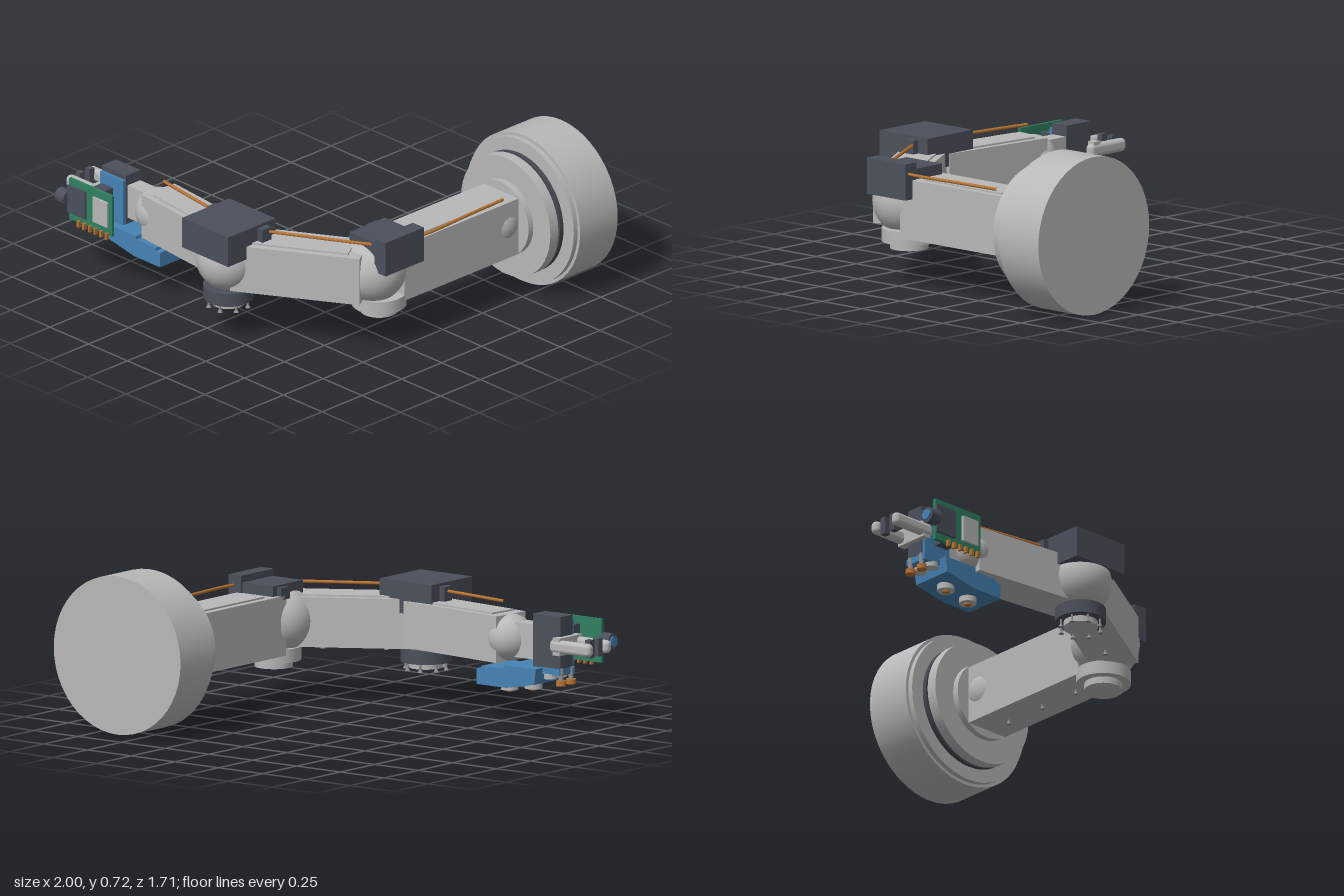
import * as THREE from 'three';
import { RoundedBoxGeometry } from 'three/addons/geometries/RoundedBoxGeometry.js';

const mat = (name, color) => {
  const m = new THREE.MeshStandardMaterial({ color });
  m.name = name;
  return m;
};

export function createModel() {
  const root = new THREE.Group();
  root.name = 'roboticArm';
  const grey = mat('shell grey', 0xb8b8b8);
  const dark = mat('housing slate', 0x4b505b);
  const groove = mat('groove charcoal', 0x45494f);
  const blue = mat('bracket blue', 0x4682b4);
  const green = mat('board green', 0x2f8060);
  const copper = mat('cable copper', 0xb87333);
  const steel = mat('screw steel', 0x8f9296);

  const add = (name, geo, m, x = 0, y = 0, z = 0, parent = root) => {
    const mesh = new THREE.Mesh(geo, m);
    mesh.name = name;
    mesh.position.set(x, y, z);
    parent.add(mesh);
    return mesh;
  };
  // box from its minimum and maximum on each axis
  const box = (name, m, x0, x1, y0, y1, z0, z1, parent = root) =>
    add(name, new THREE.BoxGeometry(x1 - x0, y1 - y0, z1 - z0), m,
      (x0 + x1) / 2, (y0 + y1) / 2, (z0 + z1) / 2, parent);
  const disc = (name, m, r, x, y0, y1, z, seg = 32) =>
    add(name, new THREE.CylinderGeometry(r, r, y1 - y0, seg), m, x, (y0 + y1) / 2, z);
  const ball = (name, r, x, y, z) => add(name, new THREE.SphereGeometry(r, 32, 20), grey, x, y, z);
  // small screw hanging down with a flared head
  const screw = (x, y, z, h = 0.03) => {
    add('screw', new THREE.CylinderGeometry(0.005, 0.005, h, 8), steel, x, y - h / 2, z);
    add('screwHead', new THREE.CylinderGeometry(0.006, 0.012, 0.012, 10), steel, x, y - h, z);
  };

  // stepped round base, axis along z
  const BX = 0.637, BY = 0.363;
  [
    ['baseDrum', 0.362, -0.856, -0.62, grey],
    ['baseRim', 0.347, -0.62, -0.595, grey],
    ['baseNeck', 0.26, -0.6, -0.55, grey],
    ['baseGroove', 0.286, -0.59, -0.568, groove],
    ['baseFlange', 0.288, -0.556, -0.505, grey],
    ['baseCollar', 0.178, -0.51, -0.475, grey],
  ].forEach(([name, r, z0, z1, m]) => {
    add(name, new THREE.CylinderGeometry(r, r, z1 - z0, 48), m, BX, BY, (z0 + z1) / 2)
      .rotation.x = Math.PI / 2;
  });

  // arm links: a beam between two plan points, with a thin raised top plate
  const link = (name, [ax, az], [bx, bz], w, y0, y1, inset) => {
    const g = new THREE.Group();
    g.name = name;
    const dx = bx - ax, dz = bz - az, len = Math.hypot(dx, dz);
    g.position.set((ax + bx) / 2, 0, (az + bz) / 2);
    g.rotation.y = Math.atan2(-dz, dx);
    box('beam', grey, -len / 2, len / 2, y0, y1, -w / 2, w / 2, g);
    box('topPlate', grey, -len / 2 + inset, len / 2 - inset, y1 - 0.01, y1 + 0.008,
      -w * 0.36, w * 0.36, g);
    root.add(g);
  };
  link('upperLink', [0.639, -0.48], [0.639, 0.24], 0.224, 0.222, 0.497, 0.12);
  link('middleLink', [0.635, 0.373], [0.12, 0.684], 0.214, 0.252, 0.48, 0.06);
  link('foreLink', [0.09, 0.645], [-0.485, 0.585], 0.19, 0.262, 0.475, 0.05);

  // joint spheres
  ball('shoulderJoint', 0.125, 0.637, 0.37, -0.42);
  ball('firstElbowJoint', 0.155, 0.625, 0.37, 0.318);
  ball('secondElbowJoint', 0.144, 0.095, 0.37, 0.713);
  ball('wristJoint', 0.107, -0.483, 0.37, 0.585);

  // caps under the elbows
  disc('firstElbowCap', grey, 0.124, 0.638, 0.188, 0.25, 0.29);
  disc('firstElbowCapDisc', grey, 0.087, 0.638, 0.156, 0.19, 0.29);
  disc('secondElbowCap', dark, 0.115, 0.099, 0.18, 0.243, 0.712);
  disc('secondElbowCapDisc', grey, 0.078, 0.099, 0.152, 0.182, 0.712);
  for (let i = 0; i < 8; i++) {
    const a = (i + 0.5) * Math.PI / 4;
    screw(0.099 + 0.095 * Math.cos(a), 0.182, 0.712 + 0.095 * Math.sin(a), 0.034);
  }
  [[0.638, 0.222, 0.11], [0.638, 0.222, -0.33], [0.638, 0.222, -0.11],
    [0.245, 0.252, 0.61], [0.49, 0.252, 0.46]].forEach((p) => screw(...p, 0.016));

  // motor housings on the elbows
  box('firstElbowSideHousing', dark, 0.725, 0.796, 0.41, 0.576, 0.163, 0.403);
  box('firstElbowTopHousing', dark, 0.55, 0.722, 0.46, 0.545, 0.17, 0.39);
  box('firstElbowTab', dark, 0.527, 0.555, 0.48, 0.535, 0.2, 0.265);
  box('secondElbowHousing', dark, -0.056, 0.24, 0.417, 0.563, 0.555, 0.852);
  [-0.07, 0.257].forEach((x) =>
    box('cableTab', dark, x - 0.016, x + 0.016, 0.48, 0.55, 0.612, 0.667));

  // copper cables between the housings
  const cable = (...pts) => {
    const path = new THREE.CatmullRomCurve3(pts.map(([x, z]) => new THREE.Vector3(x, 0.528, z)));
    add('cable', new THREE.TubeGeometry(path, 16, 0.0075, 8), copper);
  };
  cable([-0.445, 0.588], [-0.26, 0.615], [-0.07, 0.64]);
  cable([0.26, 0.626], [0.46, 0.515], [0.69, 0.385]);
  cable([0.757, -0.37], [0.767, -0.1], [0.777, 0.09], [0.772, 0.17]);

  // wrist, servo block and its blue bracket
  box('wristBeam', grey, -0.66, -0.5, 0.29, 0.45, 0.54, 0.62);
  box('wristServo', dark, -0.805, -0.648, 0.26, 0.5, 0.538, 0.628);
  box('bracketPlate', blue, -0.8, -0.65, 0.24, 0.477, 0.626, 0.645);
  const outline = new THREE.Shape();
  [[-0.71, 0.26], [-0.525, 0.26], [-0.525, 0.243], [-0.4, 0.243], [-0.4, 0.228],
    [-0.37, 0.228], [-0.37, 0.157], [-0.54, 0.157], [-0.7, 0.188]]
    .forEach(([x, y], i) => (i ? outline.lineTo(x, y) : outline.moveTo(x, y)));
  add('bracketBlock', new THREE.ExtrudeGeometry(outline, { depth: 0.205, bevelEnabled: false }),
    blue, 0, 0, 0.48);
  box('bracketArm', blue, -0.805, -0.7, 0.232, 0.262, 0.53, 0.645);

  // round feet and copper studs under the bracket
  [[-0.615, 0.15], [-0.48, 0.13]].forEach(([x, y]) => {
    disc('bracketFoot', grey, 0.04, x, y, 0.19, 0.585, 24);
    disc('footStud', copper, 0.016, x, y - 0.008, y, 0.585, 12);
  });
  [0.55, 0.622].forEach((z) => {
    disc('studPost', steel, 0.011, -0.8, 0.2, 0.265, z, 12);
    disc('stud', copper, 0.023, -0.8, 0.185, 0.208, z, 16);
    disc('studWasher', grey, 0.03, -0.74, 0.212, 0.235, z, 16);
  });

  // gripper: two round-ended fingers with dark inner pads
  box('gripperPalm', grey, -0.83, -0.79, 0.33, 0.41, 0.5, 0.665);
  [-1, 1].forEach((s) => {
    const zc = 0.583;
    add('finger', new RoundedBoxGeometry(0.23, 0.06, 0.045, 4, 0.02), grey,
      -0.885, 0.37, zc + s * 0.066);
    box('fingerPad', dark, -0.975, -0.945, 0.33, 0.412,
      zc + s * 0.03 - 0.015, zc + s * 0.03 + 0.015);
  });

  // circuit board with camera, chip and pins
  box('boardMount', dark, -0.762, -0.69, 0.3, 0.44, 0.67, 0.735);
  box('circuitBoard', green, -0.862, -0.585, 0.267, 0.467, 0.764, 0.779);
  box('cameraBody', dark, -0.862, -0.747, 0.302, 0.436, 0.777, 0.79);
  box('chip', grey, -0.7, -0.605, 0.308, 0.43, 0.777, 0.79);
  add('cameraBarrel', new THREE.CylinderGeometry(0.037, 0.037, 0.057, 20), dark, -0.888, 0.368, 0.781)
    .rotation.z = Math.PI / 2;
  add('cameraLens', new THREE.CylinderGeometry(0.024, 0.024, 0.01, 20), blue, -0.919, 0.368, 0.781)
    .rotation.z = Math.PI / 2;
  for (let i = 0; i < 6; i++) {
    const x = -0.79 + i * 0.036;
    box('boardPin', copper, x - 0.006, x + 0.006, 0.25, 0.28, 0.777, 0.795);
  }
  return root;
}
